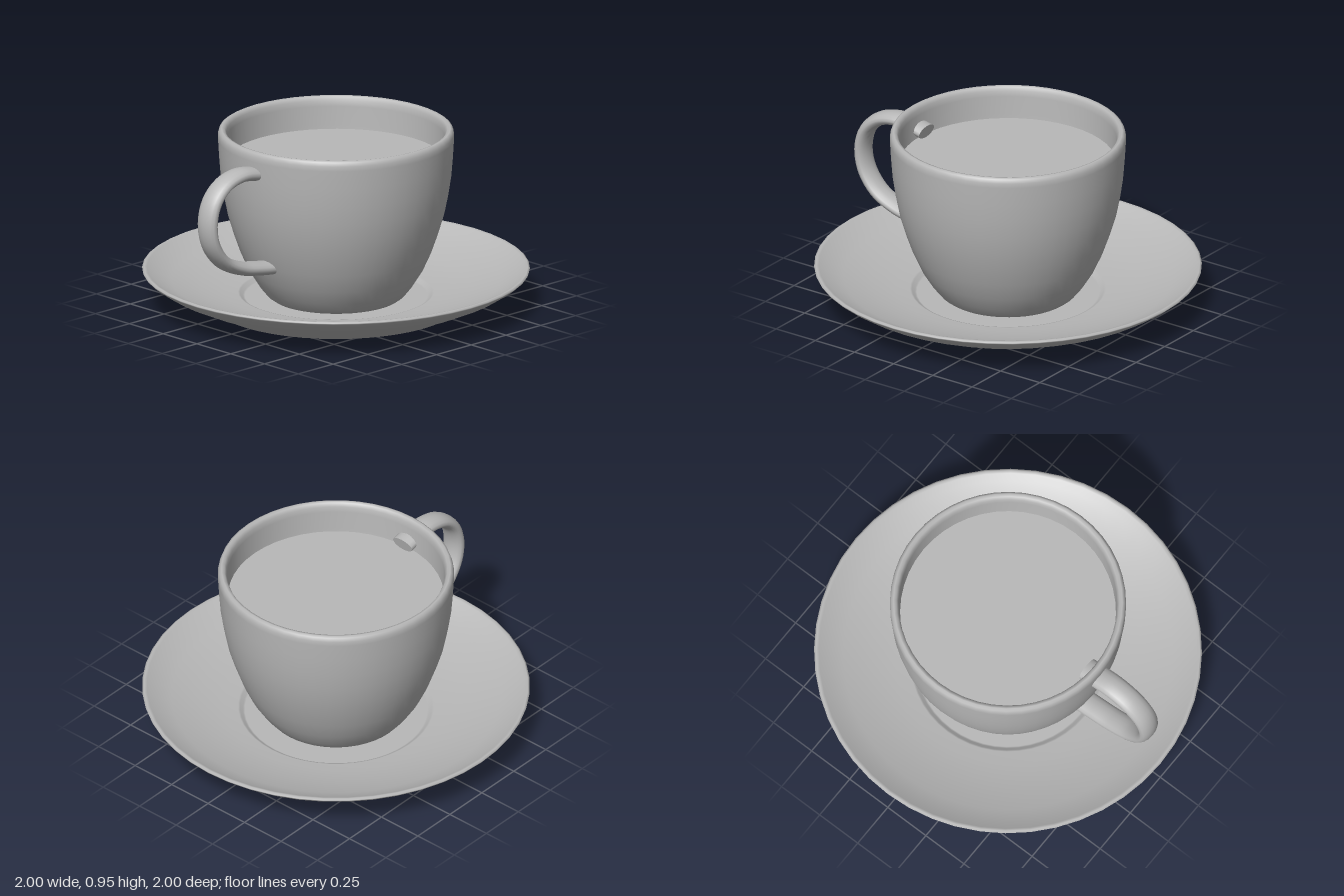
import * as THREE from 'three';

const china = new THREE.MeshStandardMaterial({ color: 0xb8b8b8 });
china.name = 'plain grey china';

// Turned part from [radius, height] pairs, outside first, then inside
function turned(name, pairs) {
  const points = pairs.map(([r, y]) => new THREE.Vector2(r, y));
  const mesh = new THREE.Mesh(new THREE.LatheGeometry(points, 48), china);
  mesh.name = name;
  return mesh;
}

export function createModel() {
  const group = new THREE.Group();
  group.name = 'cupAndSaucer';

  // Saucer: flat foot, flared underside, rounded lip, shallow well
  group.add(turned('saucer', [
    [0, 0], [0.595, 0], [0.6, 0], [0.64, 0.008], [0.665, 0.03],
    [0.78, 0.07], [0.9, 0.125], [0.97, 0.17], [0.997, 0.192], [1, 0.2],
    [0.99, 0.206], [0.975, 0.203], [0.94, 0.178], [0.85, 0.14],
    [0.7, 0.098], [0.58, 0.078], [0.505, 0.07], [0.495, 0.068], [0.48, 0.052], [0.47, 0.05], [0, 0.05],
  ]));

  // Cup: rounded bowl with a thin wall and soft rim
  group.add(turned('cup', [
    [0, 0.045], [0.3, 0.045], [0.335, 0.052], [0.36, 0.07], [0.4, 0.12], [0.45, 0.2],
    [0.495, 0.3], [0.53, 0.4], [0.56, 0.5], [0.58, 0.6], [0.595, 0.7],
    [0.603, 0.8], [0.609, 0.9], [0.609, 0.925], [0.602, 0.945], [0.59, 0.952],
    [0.575, 0.948], [0.565, 0.93], [0.562, 0.9], [0.558, 0.8], [0.55, 0.7],
    [0.515, 0.5], [0.45, 0.3], [0.34, 0.12], [0.3, 0.1], [0, 0.1],
  ]));

  // Drink surface
  const drink = new THREE.Mesh(new THREE.CircleGeometry(0.559, 48), china);
  drink.name = 'drink';
  drink.rotation.x = -Math.PI / 2;
  drink.position.y = 0.78;
  group.add(drink);

  // Handle: oval tube at the front, ends passing through the wall
  const path = new THREE.CatmullRomCurve3([
    [0.52, 0.815], [0.6, 0.832], [0.7, 0.844], [0.81, 0.815], [0.89, 0.74],
    [0.922, 0.63], [0.9, 0.51], [0.82, 0.405], [0.7, 0.345], [0.58, 0.318], [0.46, 0.3],
  ].map(([z, y]) => new THREE.Vector3(0, y, z)));
  const handle = new THREE.Group();
  handle.name = 'handle';
  const loop = new THREE.Mesh(new THREE.TubeGeometry(path, 48, 0.036, 16).scale(1.8, 1, 1), china);
  loop.name = 'handleLoop';
  handle.add(loop);
  for (const t of [0, 1]) {
    const cap = new THREE.Mesh(new THREE.CircleGeometry(0.036, 16).scale(1.8, 1, 1), china);
    cap.name = t ? 'lowerHandleEnd' : 'upperHandleEnd';
    const end = path.getPointAt(t);
    cap.position.copy(end);
    cap.lookAt(end.clone().addScaledVector(path.getTangentAt(t), t ? 1 : -1));
    handle.add(cap);
  }
  group.add(handle);

  return group;
}
